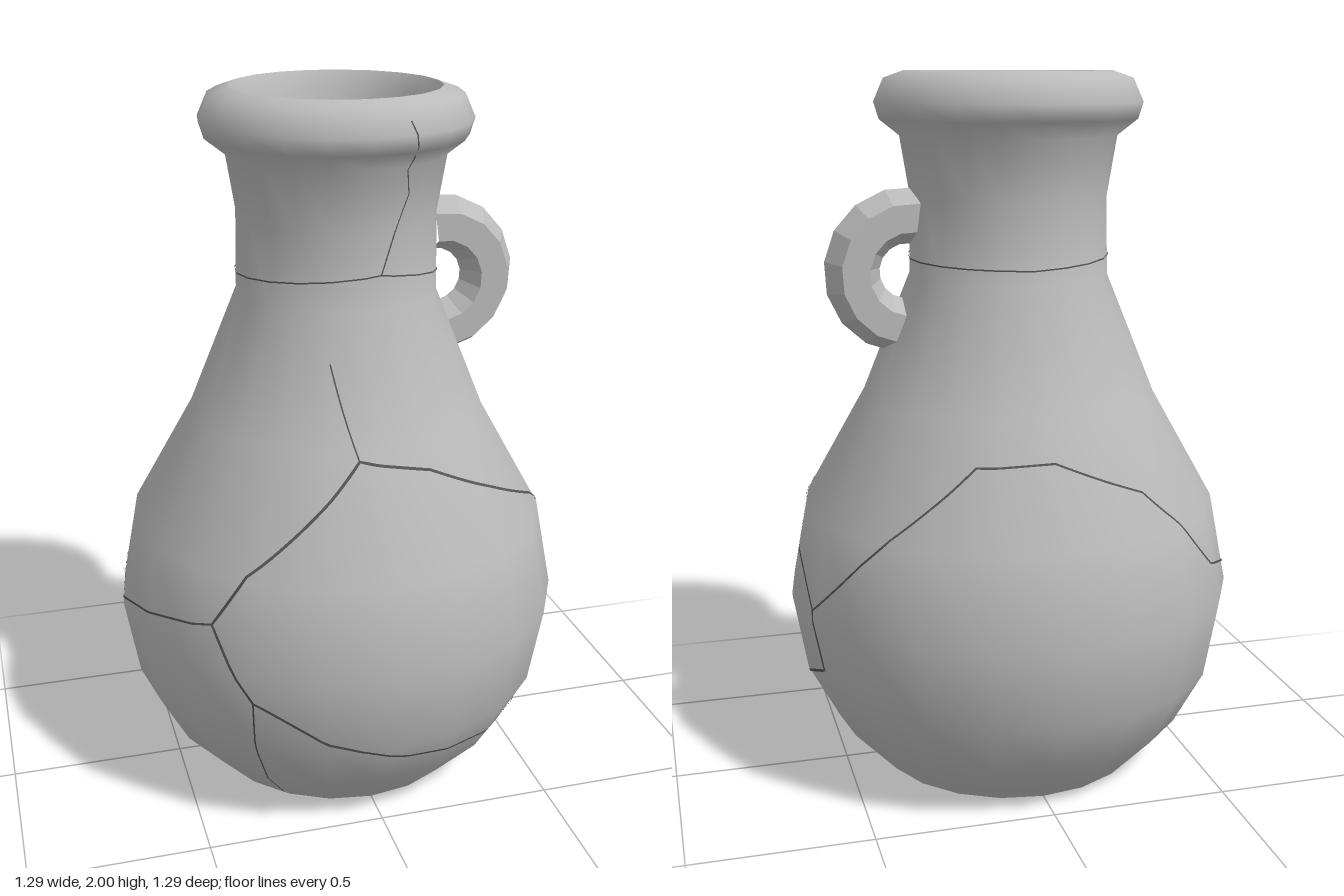
import * as THREE from 'three';

const SIDES = 20;
// Outer wall from foot to lip, as [radius, height]
const OUTER = [
  [0.39, 0], [0.52, 0.14], [0.605, 0.3], [0.645, 0.53], [0.595, 0.79], [0.42, 1.1],
  [0.282, 1.44], [0.278, 1.66], [0.305, 1.825], [0.362, 1.87], [0.376, 1.915], [0.347, 1.98], [0.29, 2.0],
];
// Inner wall from lip down to the floor
const INNER = [
  [0.29, 2.0], [0.262, 1.95], [0.235, 1.82], [0.212, 1.66], [0.212, 1.45], [0.35, 1.1], [0.525, 0.79],
  [0.575, 0.53], [0.535, 0.32], [0.45, 0.17], [0.36, 0.07],
];

const lathe = (pts) => new THREE.LatheGeometry(pts.map(([r, y]) => new THREE.Vector2(r, y)), SIDES);

// Point on the faceted outer wall: angle in degrees from the front towards +x
function onWall(deg, y) {
  let i = 0;
  while (i < OUTER.length - 2 && y > OUTER[i + 1][1]) i++;
  const [r0, y0] = OUTER[i], [r1, y1] = OUTER[i + 1];
  const step = 360 / SIDES, rad = Math.PI / 180;
  const local = (((deg % step) + step) % step) - step / 2;
  const r = (r0 + (r1 - r0) * (y - y0) / (y1 - y0)) * Math.cos(step / 2 * rad) / Math.cos(local * rad);
  return new THREE.Vector3(r * Math.sin(deg * rad), y, r * Math.cos(deg * rad));
}

// Thin ribbon lying on the wall along a path of [degrees, height]
function crackGeometry(path, width) {
  const samples = [];
  for (let i = 0; i < path.length - 1; i++) {
    const [a0, y0] = path[i], [a1, y1] = path[i + 1];
    const n = Math.max(6, Math.ceil(Math.abs(a1 - a0) / 2));
    for (let k = i ? 1 : 0; k <= n; k++) samples.push([a0 + (a1 - a0) * k / n, y0 + (y1 - y0) * k / n]);
  }
  const points = samples.map(([a, y]) => onWall(a, y));
  const pos = [], index = [];
  samples.forEach(([a, y], i) => {
    const p = points[i];
    const around = onWall(a + 0.5, y).sub(onWall(a - 0.5, y));
    const up = onWall(a, y + 0.01).sub(onWall(a, y - 0.01));
    const normal = around.cross(up).normalize();
    const along = points[Math.min(i + 1, points.length - 1)].clone().sub(points[Math.max(i - 1, 0)]);
    const side = normal.clone().cross(along).normalize().multiplyScalar(width / 2);
    const c = p.clone().addScaledVector(normal, 0.003);
    pos.push(...c.clone().add(side).toArray(), ...c.clone().sub(side).toArray());
    if (i) {
      const b = 2 * i;
      index.push(b - 2, b - 1, b, b - 1, b + 1, b);
    }
  });
  const g = new THREE.BufferGeometry();
  g.setAttribute('position', new THREE.Float32BufferAttribute(pos, 3));
  g.setIndex(index);
  g.computeVertexNormals();
  return g;
}

export function createModel() {
  const model = new THREE.Group();
  model.name = 'crackedVase';
  const clay = new THREE.MeshStandardMaterial({ color: 0xbbbbbb });
  clay.name = 'grey clay';
  const flatClay = clay.clone();
  flatClay.flatShading = true;
  const dark = new THREE.MeshStandardMaterial({ color: 0x555555, side: THREE.DoubleSide });
  dark.name = 'dark crack';

  const add = (name, geometry, material) => {
    const mesh = new THREE.Mesh(geometry, material);
    mesh.name = name;
    model.add(mesh);
    return mesh;
  };

  // Hollow body
  add('outerWall', lathe(OUTER), clay);
  add('innerWall', lathe(INNER), clay);
  add('base', lathe([[0, 0], [0.39, 0]]), clay);
  add('floor', lathe([[0.36, 0.07], [0, 0.07]]), clay);

  // Ring handle with a six-sided section, its ends sunk into the wall
  const arc = THREE.MathUtils.degToRad(180);
  const ring = new THREE.TorusGeometry(0.155, 0.078, 6, 8, arc);
  ring.rotateZ(THREE.MathUtils.degToRad(-82));
  ring.scale(1, 1, 1.15);
  add('handle', ring, flatClay).position.set(0.293, 1.455, 0);

  // Cracks between the shards
  const cracks = {
    frontShardCrack: [[[108, 0.55], [90, 0.67], [69, 0.83], [43, 0.94], [18, 1.04], [-7, 1.08], [-39, 0.8],
      [-48, 0.65], [-36, 0.45], [-17, 0.33], [5, 0.25], [37, 0.205], [69, 0.23], [90, 0.29], [109, 0.37], [108, 0.55]], 0.008],
    backShardCrack: [[[108, 0.55], [133, 0.8], [155, 0.99], [180, 1.0], [208, 0.9], [232, 0.65],
      [254, 0.58], [270, 0.55], [285, 0.59], [312, 0.65]], 0.006],
    footCrack: [[[-36, 0.45], [-37, 0.25], [-37, 0.12], [-37, 0.02]], 0.005],
    shoulderCrack: [[[-7, 1.08], [-18, 1.32]], 0.004],
    neckRingCrack: [[[10, 1.54], [80, 1.49], [180, 1.48], [270, 1.5], [370, 1.54]], 0.004],
    lipCrack: [[[10, 1.54], [25, 1.75], [16, 1.95]], 0.004],
  };
  for (const [name, [path, width]] of Object.entries(cracks)) add(name, crackGeometry(path, width), dark);

  return model;
}
